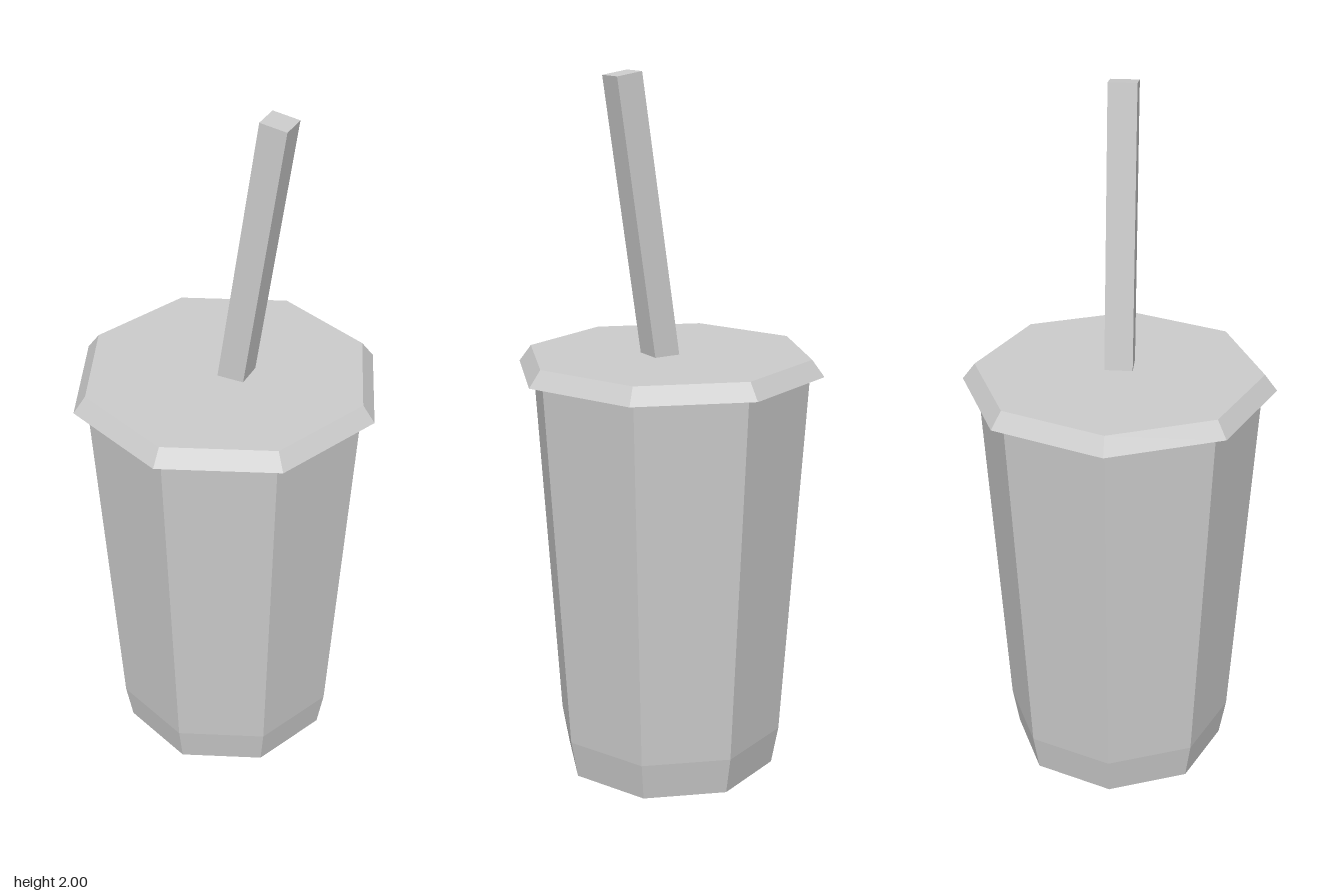
import * as THREE from 'three';

const SIDES = 8;
const material = new THREE.MeshStandardMaterial({ color: 0xcccccc, flatShading: true });

// Faceted solid of revolution from [radius, height] points, listed bottom to top
function turned(name, points) {
  const profile = points.map(([r, y]) => new THREE.Vector2(r, y));
  const mesh = new THREE.Mesh(new THREE.LatheGeometry(profile, SIDES), material);
  mesh.name = name;
  return mesh;
}

export function createModel() {
  const model = new THREE.Group();
  model.name = 'drinkCup';

  // Tapered cup with a narrower foot
  model.add(turned('cup', [[0, 0], [0.31, 0], [0.33, 0.11], [0.4, 1.175]]));

  // Lid with a sloping rim overhanging the cup
  model.add(turned('lid', [[0.4, 1.175], [0.44, 1.175], [0.405, 1.222], [0, 1.222]]));

  // Square straw leaning towards +x, its foot just sunk into the lid
  const length = 0.8;
  const tilt = 0.149;
  const straw = new THREE.Mesh(new THREE.BoxGeometry(0.077, length, 0.079), material);
  straw.name = 'straw';
  straw.rotation.z = -tilt;
  straw.position.set(
    0.145 - Math.sin(tilt) * length / 2,
    1.994 - Math.cos(tilt) * length / 2,
    0
  );
  model.add(straw);

  return model;
}
